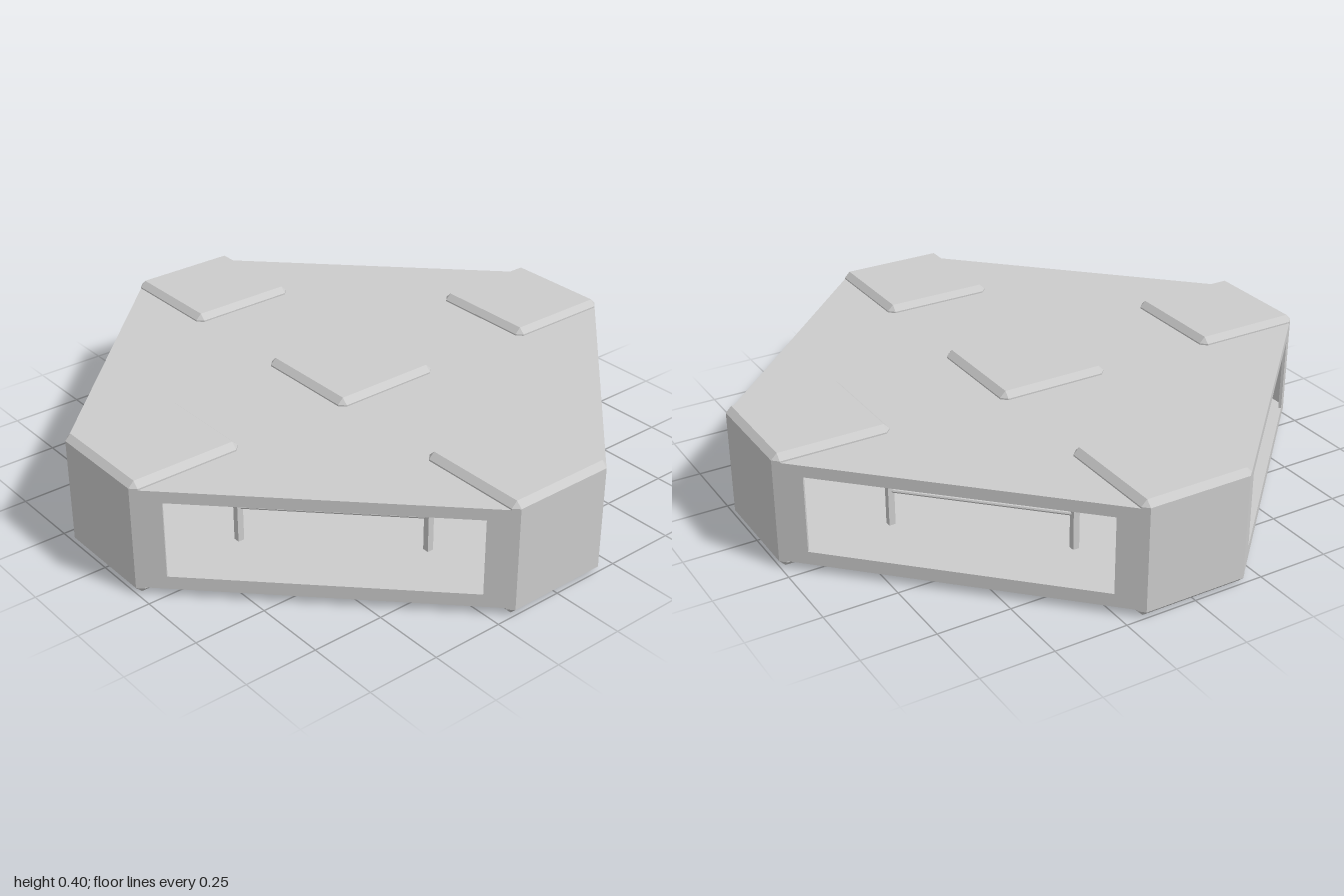
import * as THREE from 'three';
import { ConvexGeometry } from 'three/addons/geometries/ConvexGeometry.js';

const R = 0.18;                 // half width of a flat end
const Y0 = 0.025, Y1 = 0.375;   // underside and top of the hollow body
const T = 0.015;                // sheet thickness

export function createModel() {
  const model = new THREE.Group();
  const material = new THREE.MeshStandardMaterial({ color: 0xcccccc, flatShading: true, side: THREE.DoubleSide });

  const add = (parent, name, geometry, x = 0, y = 0, z = 0) => {
    const mesh = new THREE.Mesh(geometry, material);
    mesh.name = name;
    mesh.position.set(x, y, z);
    parent.add(mesh);
    return mesh;
  };

  // Floor and roof: eight-sided plates
  const outline = new THREE.Shape([
    [R, 1], [1, R], [1, -R], [R, -1], [-R, -1], [-1, -R], [-1, R], [-R, 1],
  ].map(([x, z]) => new THREE.Vector2(x, z)));
  const plate = new THREE.ExtrudeGeometry(outline, { depth: T, bevelEnabled: false });
  plate.rotateX(-Math.PI / 2);
  add(model, 'floor', plate, 0, Y0, 0);
  add(model, 'roof', plate, 0, Y1 - T, 0);

  // Raised pad with chamfered edges and small triangular corners
  const points = [];
  for (const sx of [-1, 1]) for (const sz of [-1, 1]) {
    points.push(new THREE.Vector3(sx * R, 0.4, sz * R));
    for (const y of [0.365, 0.38]) {
      points.push(new THREE.Vector3(sx * 0.2, y, sz * R), new THREE.Vector3(sx * R, y, sz * 0.2));
    }
  }
  const padGeometry = new ConvexGeometry(points);
  const addPads = (parent, z) => {
    add(parent, 'topPad', padGeometry, 0, 0, z);
    add(parent, 'bottomPad', padGeometry, 0, 0.4, z).rotation.z = Math.PI;
  };
  addPads(model, 0);

  // Diagonal wall with a long window
  const rect = (target, w, y0, y1) => target.moveTo(-w, y0).lineTo(w, y0).lineTo(w, y1).lineTo(-w, y1).closePath();
  const wallShape = rect(new THREE.Shape(), (1 - R) * Math.SQRT1_2, Y0, Y1);
  wallShape.holes.push(rect(new THREE.Path(), 0.481, 0.07, 0.335));
  const wall = new THREE.ExtrudeGeometry(wallShape, { depth: 0.01, bevelEnabled: false });
  wall.translate(0, 0, (1 + R) * Math.SQRT1_2 - 0.01);
  wall.rotateY(Math.PI / 4);

  const endWall = new THREE.BoxGeometry(2 * R, Y1 - Y0, 0.01);
  const post = new THREE.BoxGeometry(0.022, Y1 - Y0 - 2 * T, 0.022);
  const rod = new THREE.CylinderGeometry(0.007, 0.007, 0.594, 8);
  rod.rotateZ(Math.PI / 2).rotateY(Math.PI / 4);

  // Four identical quarters around the centre
  for (let i = 0; i < 4; i++) {
    const quarter = new THREE.Group();
    quarter.name = 'quarter' + (i + 1);
    quarter.rotation.y = i * Math.PI / 2;
    addPads(quarter, 0.8);
    add(quarter, 'endWall', endWall, 0, 0.2, 0.995);
    add(quarter, 'windowWall', wall);
    for (const s of [-1, 1]) add(quarter, 'innerPost', post, s * 0.187, 0.2, 0.613);
    add(quarter, 'centrePost', post, 0.187, 0.2, 0.187);
    add(quarter, 'diagonalRod', rod, 0.4, 0.163, 0.4);
    model.add(quarter);
  }
  return model;
}
